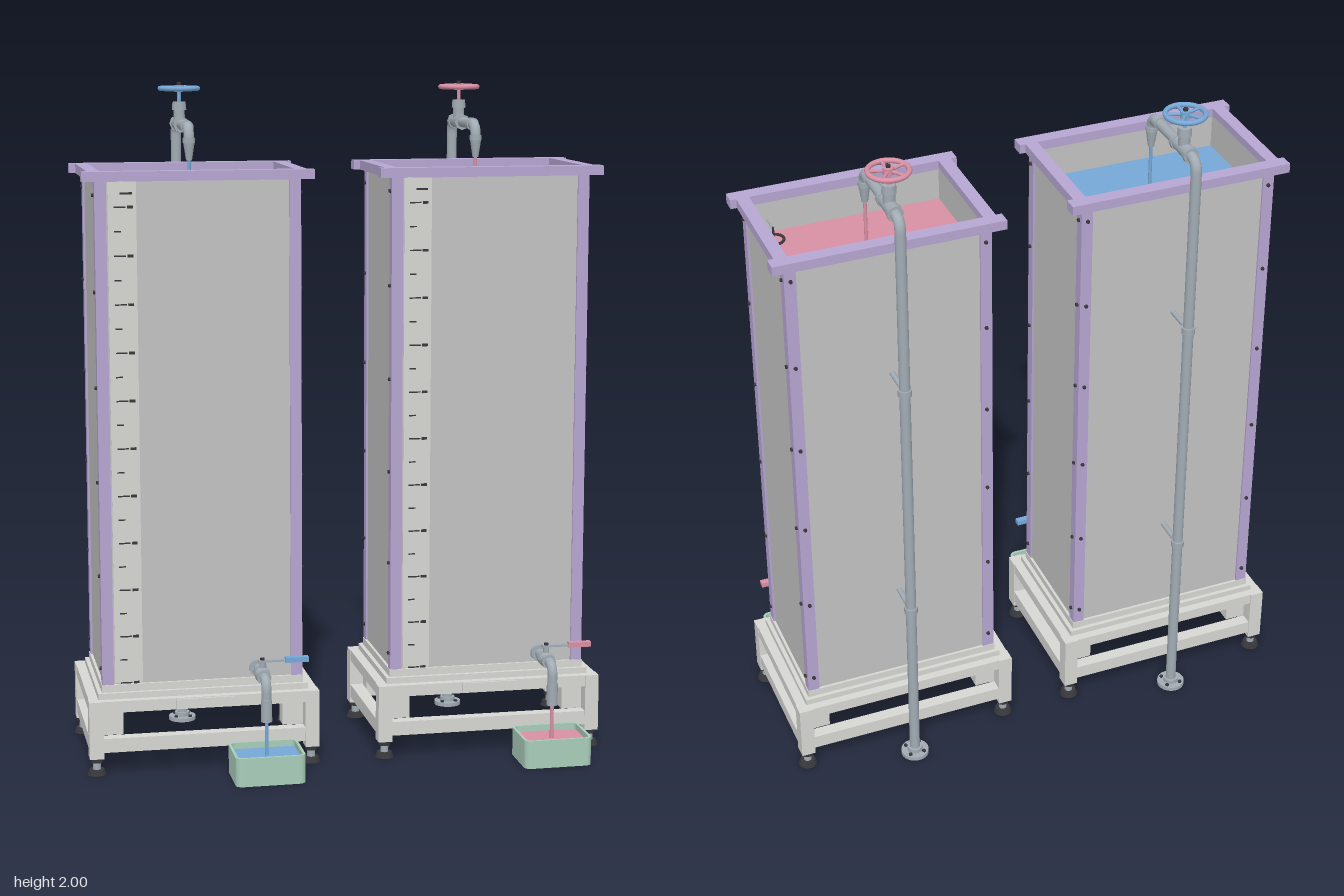
import * as THREE from 'three';

const mat = (name, color, side = THREE.FrontSide) => {
  const m = new THREE.MeshStandardMaterial({ color, side });
  m.name = name;
  return m;
};

export function createModel() {
  const wallGray = mat('tank gray', 0xc2c2c2);
  const frameGray = mat('frame light gray', 0xd6d6d3);
  const steel = mat('pipe steel', 0xa2acb4);
  const purple = mat('trim purple', 0xb6a6d2);
  const green = mat('basin green', 0xa9cdba);
  const dark = mat('dark rubber', 0x38383c);
  const blue = mat('water blue', 0x76a8d6);
  const pink = mat('water pink', 0xd890a4);

  const add = (g, name, geo, m, x = 0, y = 0, z = 0) => {
    const mesh = new THREE.Mesh(geo, m);
    mesh.name = name;
    mesh.position.set(x, y, z);
    g.add(mesh);
    return mesh;
  };
  // box given by its minimum and maximum on each axis
  const box = (g, name, m, x0, x1, y0, y1, z0, z1) =>
    add(g, name, new THREE.BoxGeometry(x1 - x0, y1 - y0, z1 - z0), m, (x0 + x1) / 2, (y0 + y1) / 2, (z0 + z1) / 2);
  // cylinder between two points
  const rod = (g, name, m, a, b, r, r2 = r, n = 20) => {
    const p = new THREE.Vector3(...a), q = new THREE.Vector3(...b);
    const mesh = add(g, name, new THREE.CylinderGeometry(r2, r, p.distanceTo(q), n), m);
    mesh.position.copy(p).add(q).multiplyScalar(0.5);
    mesh.quaternion.setFromUnitVectors(new THREE.Vector3(0, 1, 0), q.sub(p).normalize());
    return mesh;
  };
  // pipe through points with rounded bends of radius bend
  const pipe = (g, name, m, pts, r, bend) => {
    const v = pts.map(p => new THREE.Vector3(...p));
    const path = new THREE.CurvePath();
    let last = v[0];
    for (let i = 1; i < v.length - 1; i++) {
      const a = v[i].clone().add(v[i - 1].clone().sub(v[i]).setLength(bend));
      const b = v[i].clone().add(v[i + 1].clone().sub(v[i]).setLength(bend));
      path.add(new THREE.LineCurve3(last, a));
      path.add(new THREE.QuadraticBezierCurve3(a, v[i], b));
      last = b;
    }
    path.add(new THREE.LineCurve3(last, v[v.length - 1]));
    add(g, name, new THREE.TubeGeometry(path, 160, r, 16), m);
  };
  const roundRect = (w, d, r, S = THREE.Shape) => {
    const s = new S();
    s.moveTo(w - r, -d).absarc(w - r, -d + r, r, -Math.PI / 2, 0).absarc(w - r, d - r, r, 0, Math.PI / 2);
    s.absarc(-w + r, d - r, r, Math.PI / 2, Math.PI).absarc(-w + r, -d + r, r, Math.PI, Math.PI * 1.5);
    return s;
  };
  const corners = [[1, 1], [-1, 1], [1, -1], [-1, -1]];
  // box mirrored into one quadrant
  const cornerBox = (g, name, m, sx, sz, x0, x1, y0, y1, z0, z1) =>
    box(g, name, m, Math.min(sx * x0, sx * x1), Math.max(sx * x0, sx * x1), y0, y1,
      Math.min(sz * z0, sz * z1), Math.max(sz * z0, sz * z1));

  const buildStand = () => {
    const g = new THREE.Group();
    g.name = 'stand';
    for (const [sx, sz] of corners) {
      cornerBox(g, 'leg', frameGray, sx, sz, 0.3, 0.342, 0.05, 0.222, 0.193, 0.235);
      cornerBox(g, 'innerPost', frameGray, sx, sz, 0.238, 0.3, 0.11, 0.19, 0.14, 0.193);
      rod(g, 'footStem', steel, [sx * 0.32, 0.012, sz * 0.214], [sx * 0.32, 0.05, sz * 0.214], 0.012);
      rod(g, 'footPad', dark, [sx * 0.32, 0, sz * 0.214], [sx * 0.32, 0.016, sz * 0.214], 0.028, 0.022);
      rod(g, 'footCollar', dark, [sx * 0.32, 0.037, sz * 0.214], [sx * 0.32, 0.05, sz * 0.214], 0.018);
    }
    for (const [y0, y1] of [[0.188, 0.222], [0.068, 0.11]]) {
      for (const s of [1, -1]) {
        cornerBox(g, 'longBeam', frameGray, 1, s, -0.3, 0.3, y0, y1, 0.195, 0.232);
        cornerBox(g, 'shortBeam', frameGray, s, 1, 0.302, 0.34, y0, y1, -0.193, 0.193);
      }
    }
    box(g, 'crossBeam', frameGray, -0.02, 0.02, 0.188, 0.22, -0.195, 0.195);
    box(g, 'namePlate', frameGray, -0.085, 0.085, 0.19, 0.22, 0.232, 0.238);
    return g;
  };

  const buildTank = water => {
    const g = new THREE.Group();
    g.name = 'tank';
    box(g, 'basePlate', frameGray, -0.312, 0.312, 0.222, 0.24, -0.207, 0.207);
    box(g, 'baseLedge', frameGray, -0.3, 0.3, 0.24, 0.262, -0.195, 0.195);
    for (const s of [1, -1]) {
      cornerBox(g, 'longWall', wallGray, 1, s, -0.29, 0.29, 0.25, 1.74, 0.175, 0.187);
      cornerBox(g, 'sideWall', wallGray, s, 1, 0.28, 0.292, 0.25, 1.74, -0.175, 0.175);
      cornerBox(g, 'longRim', purple, 1, s, -0.335, 0.335, 1.735, 1.763, 0.173, 0.214);
      cornerBox(g, 'sideRim', purple, s, 1, 0.28, 0.317, 1.735, 1.763, -0.173, 0.173);
    }
    for (const [sx, sz] of corners) {
      cornerBox(g, 'cornerAngle', purple, sx, sz, 0.264, 0.298, 0.262, 1.735, 0.187, 0.193);
      cornerBox(g, 'cornerAngle', purple, sx, sz, 0.292, 0.298, 0.262, 1.735, 0.16, 0.187);
      for (let i = 0; i < 6; i++) {
        const y = 0.31 + i * 0.277;
        rod(g, 'bolt', dark, [sx * 0.297, y, sz * 0.176], [sx * 0.304, y, sz * 0.176], 0.006, 0.005, 8);
        if (sz < 0) rod(g, 'bolt', dark, [sx * 0.28, y, -0.192], [sx * 0.28, y, -0.199], 0.006, 0.005, 8);
      }
    }
    box(g, 'water', water, -0.281, 0.281, 0.262, 1.64, -0.176, 0.176);
    // level gauge with long and short marks
    box(g, 'gaugeStrip', frameGray, -0.26, -0.178, 0.265, 1.733, 0.187, 0.189);
    for (let i = 0; i <= 20; i++) {
      const y = 0.265 + i * 0.0698, major = i % 2 === 0;
      box(g, 'gaugeMark', dark, -0.243, major ? -0.209 : -0.223, y - 0.002, y + 0.002, 0.189, 0.1905);
      if (major) box(g, 'gaugeTag', dark, -0.205, -0.188, y - 0.004, y + 0.004, 0.189, 0.1905);
    }
    box(g, 'gaugeTag', dark, -0.225, -0.19, 1.697, 1.703, 0.189, 0.1905);
    // ring floating at the surface above the outlet
    add(g, 'surfaceRing', new THREE.TorusGeometry(0.029, 0.004, 8, 32).rotateX(Math.PI / 2), dark, 0.232, 1.645, 0.12);
    rod(g, 'surfaceArm', steel, [0.232, 1.68, 0.12], [0.232, 1.68, 0.176], 0.003);
    rod(g, 'surfacePin', dark, [0.232, 1.64, 0.12], [0.232, 1.684, 0.12], 0.003);
    return g;
  };

  const buildInlet = water => {
    const g = new THREE.Group();
    g.name = 'inletPipe';
    const zp = -0.29, zv = -0.207, zn = 0.002;
    rod(g, 'floorFlange', steel, [0, 0, zp], [0, 0.012, zp], 0.042, 0.042, 32);
    rod(g, 'flangeNeck', steel, [0, 0.012, zp], [0, 0.025, zp], 0.023);
    for (let i = 0; i < 4; i++) {
      const a = Math.PI / 4 + i * Math.PI / 2;
      add(g, 'flangeBolt', new THREE.CylinderGeometry(0.006, 0.006, 0.006, 6), dark, 0.031 * Math.cos(a), 0.014, zp + 0.031 * Math.sin(a));
    }
    pipe(g, 'supplyPipe', steel, [[0, 0.01, zp], [0, 1.876, zp], [0, 1.876, zn], [0, 1.83, zn]], 0.0155, 0.036);
    rod(g, 'elbowCollar', steel, [0, 1.876, zn - 0.055], [0, 1.876, zn - 0.035], 0.019);
    rod(g, 'nozzle', steel, [0, 1.83, zn], [0, 1.845, zn], 0.018);
    rod(g, 'nozzleTip', steel, [0, 1.78, zn], [0, 1.832, zn], 0.009, 0.017);
    rod(g, 'inletStream', water, [0, 1.63, zn], [0, 1.785, zn], 0.005);
    for (const y of [0.56, 1.33]) {
      rod(g, 'wallBracket', steel, [0, y, -0.185], [0, y, zp], 0.008);
      rod(g, 'pipeClamp', steel, [0, y - 0.01, zp], [0, y + 0.01, zp], 0.02);
    }
    // gate valve and handwheel
    rod(g, 'valveBody', steel, [0, 1.876, zv - 0.035], [0, 1.876, zv + 0.035], 0.02);
    for (const s of [1, -1]) rod(g, 'valveNut', steel, [0, 1.876, zv + s * 0.034], [0, 1.876, zv + s * 0.05], 0.024, 0.024, 8);
    rod(g, 'valveBonnet', steel, [0, 1.88, zv], [0, 1.918, zv], 0.017);
    rod(g, 'bonnetNut', steel, [0, 1.918, zv], [0, 1.942, zv], 0.022, 0.02, 8);
    rod(g, 'valveStem', water, [0, 1.94, zv], [0, 1.985, zv], 0.006);
    rod(g, 'wheelHub', water, [0, 1.972, zv], [0, 1.992, zv], 0.015);
    rod(g, 'wheelNut', dark, [0, 1.992, zv], [0, 2.0, zv], 0.007, 0.007, 6);
    add(g, 'wheelRim', new THREE.TorusGeometry(0.056, 0.0075, 12, 40).rotateX(Math.PI / 2), water, 0, 1.982, zv);
    for (let i = 0; i < 5; i++) {
      const a = i * Math.PI * 0.4 + 0.3;
      rod(g, 'wheelSpoke', water, [0, 1.982, zv], [0.055 * Math.cos(a), 1.982, zv + 0.055 * Math.sin(a)], 0.005, 0.005, 8);
    }
    return g;
  };

  const buildOutlet = water => {
    const g = new THREE.Group();
    g.name = 'outletTap';
    const x = 0.165, y = 0.29, zv = 0.268, ze = 0.338;
    rod(g, 'wallFlange', steel, [x, y, 0.187], [x, y, 0.2], 0.026);
    pipe(g, 'tapPipe', steel, [[x, y, 0.19], [x, y, ze], [x, 0.2, ze]], 0.0145, 0.034);
    add(g, 'tapValve', new THREE.SphereGeometry(0.023, 20, 14), steel, x, y, zv);
    for (const s of [1, -1]) rod(g, 'tapNut', steel, [x, y, zv + s * 0.018], [x, y, zv + s * 0.034], 0.022, 0.022, 8);
    rod(g, 'spout', steel, [x, 0.168, ze], [x, 0.235, ze], 0.0165);
    rod(g, 'tapStem', steel, [x, y, zv], [x, 0.33, zv], 0.009);
    rod(g, 'tapStemNut', dark, [x, 0.33, zv], [x, 0.34, zv], 0.007, 0.007, 6);
    box(g, 'handleArm', steel, x - 0.012, x + 0.075, 0.328, 0.334, zv - 0.008, zv + 0.008);
    box(g, 'handleGrip', water, x + 0.068, x + 0.137, 0.324, 0.339, zv - 0.01, zv + 0.01);
    rod(g, 'outletStream', water, [x, 0.05, ze], [x, 0.17, ze], 0.0055);
    // catch basin
    const ring = roundRect(0.103, 0.082, 0.02);
    ring.holes.push(roundRect(0.095, 0.074, 0.014, THREE.Path));
    const flat = (shape, depth) =>
      new THREE.ExtrudeGeometry(shape, { depth, bevelEnabled: false, curveSegments: 6 }).rotateX(-Math.PI / 2);
    add(g, 'basinWall', flat(ring, 0.085), green, x, 0, ze);
    add(g, 'basinFloor', flat(roundRect(0.102, 0.081, 0.02), 0.008), green, x, 0.0005, ze);
    add(g, 'basinWater', flat(roundRect(0.0955, 0.0745, 0.014), 0.06), water, x, 0.006, ze);
    return g;
  };

  const model = new THREE.Group();
  model.name = 'twinWaterTanks';
  for (const [name, x, water] of [['blueTankUnit', -0.432, blue], ['pinkTankUnit', 0.432, pink]]) {
    const unit = new THREE.Group();
    unit.name = name;
    unit.add(buildStand(), buildTank(water), buildInlet(water), buildOutlet(water));
    unit.position.set(x, 0, -0.04);
    model.add(unit);
  }
  return model;
}
